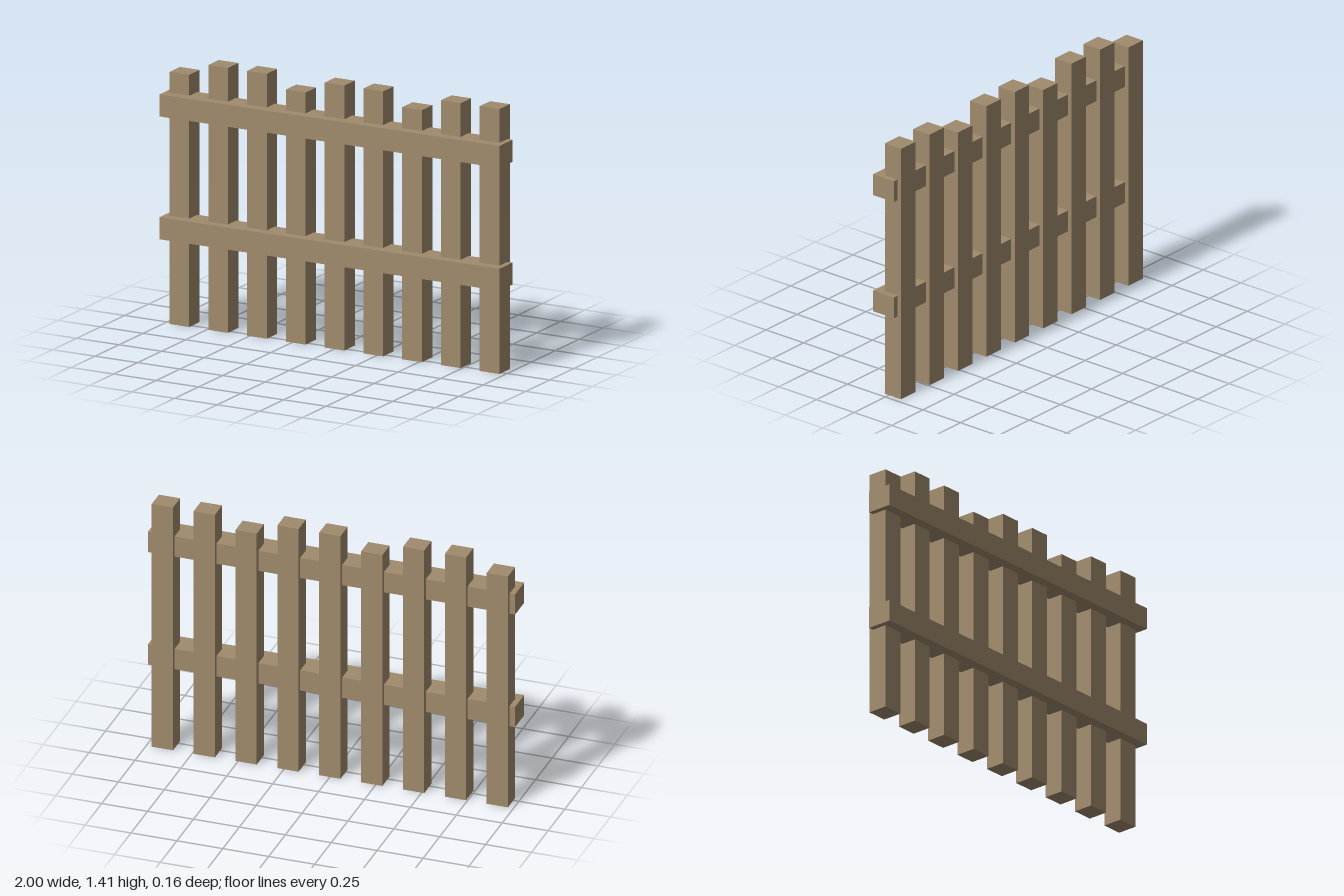
import * as THREE from 'three';

export function createModel() {
  const fence = new THREE.Group();
  fence.name = 'picketFence';
  const wood = new THREE.MeshStandardMaterial({ color: 0xa08a6c });
  wood.name = 'wood';

  // Box given by its lower and upper limits on each axis
  function board(name, [x0, x1], [y0, y1], [z0, z1]) {
    const mesh = new THREE.Mesh(new THREE.BoxGeometry(x1 - x0, y1 - y0, z1 - z0), wood);
    mesh.position.set((x0 + x1) / 2, (y0 + y1) / 2, (z0 + z1) / 2);
    mesh.name = name;
    fence.add(mesh);
  }

  // Nine upright pickets, every third one shorter
  for (let i = 0; i < 9; i++) {
    const x = (i - 4) * 0.228;
    const height = i % 3 === 0 ? 1.34 : 1.408;
    board(`picket${i + 1}`, [x - 0.058, x + 0.058], [0, height], [-0.081, 0.028]);
  }

  // Two horizontal rails, set into the front of the pickets
  board('lowerRail', [-1, 1], [0.459, 0.576], [-0.057, 0.081]);
  board('upperRail', [-1, 1], [1.112, 1.229], [-0.057, 0.081]);

  return fence;
}
